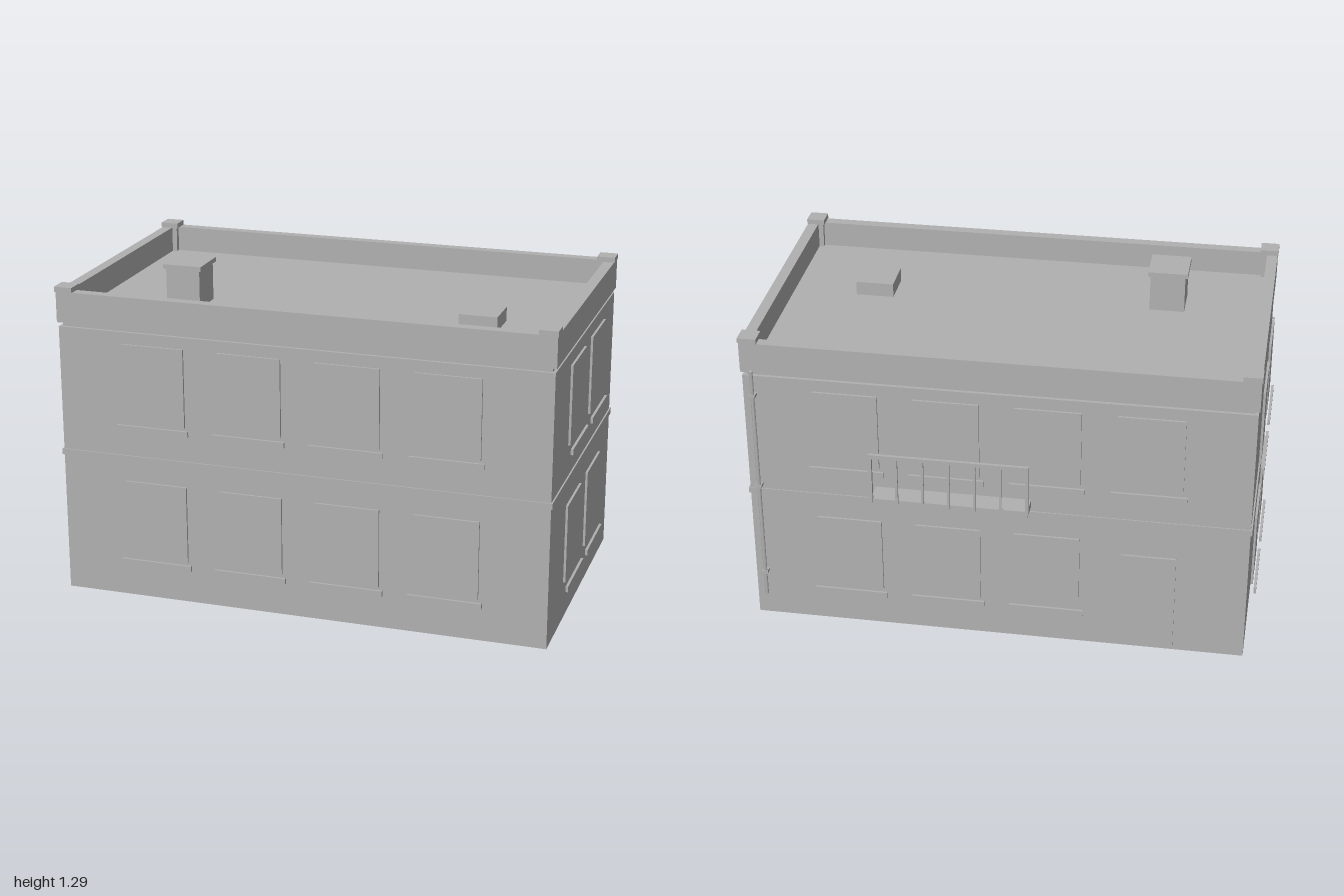
import * as THREE from 'three';

export function createModel() {
  const model = new THREE.Group();
  model.name = 'townhouse';
  const plaster = new THREE.MeshStandardMaterial({ color: 0xb0b0b0 });
  plaster.name = 'grey plaster';

  // Box given by its minimum and maximum on each axis
  function box(name, x0, x1, y0, y1, z0, z1, parent = model) {
    const mesh = new THREE.Mesh(new THREE.BoxGeometry(x1 - x0, y1 - y0, z1 - z0), plaster);
    mesh.position.set((x0 + x1) / 2, (y0 + y1) / 2, (z0 + z1) / 2);
    mesh.name = name;
    parent.add(mesh);
    return mesh;
  }

  const X = 0.97, ZF = 0.596, ZB = -0.528;

  // Main volume, string course, recessed neck and roof deck
  box('walls', -X, X, 0, 1.083, ZB, ZF);
  box('stringCourse', -0.976, 0.976, 0.562, 0.586, -0.533, 0.602);
  box('neck', -0.957, 0.957, 1.083, 1.1, -0.514, 0.583);
  box('roofDeck', -0.94, 0.94, 1.1, 1.12, -0.5, 0.56);

  // Parapet
  const PX = 0.975, PF = 0.6, PB = -0.534, T = 0.043;
  box('parapetFront', -PX, PX, 1.1, 1.222, PF - T, PF);
  box('parapetBack', -PX, PX, 1.1, 1.222, PB, PB + T);
  for (const s of [-1, 1]) {
    const a = s * PX, b = s * (PX - T);
    box('parapetSide', Math.min(a, b), Math.max(a, b), 1.1, 1.222, PB + T, PF - T);
    // Corner piers with flat caps
    for (const z of [0.57, -0.5]) {
      const x = s * 0.942;
      box('cornerPier', x - 0.03, x + 0.03, 1.105, 1.222, z - 0.03, z + 0.03);
      box('cornerCap', x - 0.036, x + 0.036, 1.222, 1.242, z - 0.036, z + 0.036);
    }
  }

  // Chimney and roof hatch
  box('chimney', -0.632, -0.495, 1.12, 1.27, 0.18, 0.325);
  box('chimneyCap', -0.642, -0.486, 1.27, 1.288, 0.168, 0.333);
  box('roofHatch', 0.527, 0.677, 1.12, 1.175, 0.127, 0.277);

  // Window: facade plane is local z = 0, facing local +z
  function windowAt(parent, x, y) {
    box('windowPanel', x - 0.127, x + 0.127, y, y + 0.313, 0.006, 0.015, parent);
    box('windowSill', x - 0.145, x + 0.145, y - 0.031, y - 0.008, 0.02, 0.03, parent);
  }
  function facade(name, x, z, turn) {
    const g = new THREE.Group();
    g.name = name;
    g.position.set(x, 0, z);
    g.rotation.y = turn;
    model.add(g);
    return g;
  }
  const front = facade('frontWindows', 0, ZF, 0);
  const back = facade('backWindows', 0, ZB, Math.PI);
  const left = facade('leftWindows', X, 0, Math.PI / 2);
  const right = facade('rightWindows', -X, 0, -Math.PI / 2);
  for (const y of [0.17, 0.726]) {
    for (const x of [-0.584, -0.196, 0.191, 0.579]) {
      windowAt(front, x, y);
      if (x > -0.5 || y > 0.5) windowAt(back, -x, y);
    }
    for (const z of [0.223, -0.152]) {
      windowAt(left, -z, y);
      windowAt(right, z, y);
    }
  }

  // Back door
  box('backDoor', -0.695, -0.485, 0.012, 0.43, ZB - 0.015, ZB - 0.006);

  // Balcony with a front railing
  const balcony = new THREE.Group();
  balcony.name = 'balcony';
  model.add(balcony);
  box('balconySlab', -0.133, 0.471, 0.608, 0.637, -0.616, -0.525, balcony);
  box('topRail', -0.138, 0.476, 0.82, 0.835, -0.624, -0.611, balcony);
  for (let i = 0; i < 7; i++) {
    const x = -0.131 + i * 0.1, r = i % 6 ? 0.005 : 0.007;
    box('baluster', x - r, x + r, 0.625, 0.82, -0.6175 - r, -0.6175 + r, balcony);
  }

  // Drainpipe with brackets
  const pipe = new THREE.Mesh(new THREE.CylinderGeometry(0.0075, 0.0075, 1.01, 12), plaster);
  pipe.position.set(0.93, 0.607, -0.547);
  pipe.name = 'drainpipe';
  model.add(pipe);
  for (const y of [0.207, 0.607, 1.007]) {
    box('pipeBracket', 0.918, 0.942, y - 0.006, y + 0.006, -0.557, ZB);
  }
  return model;
}
